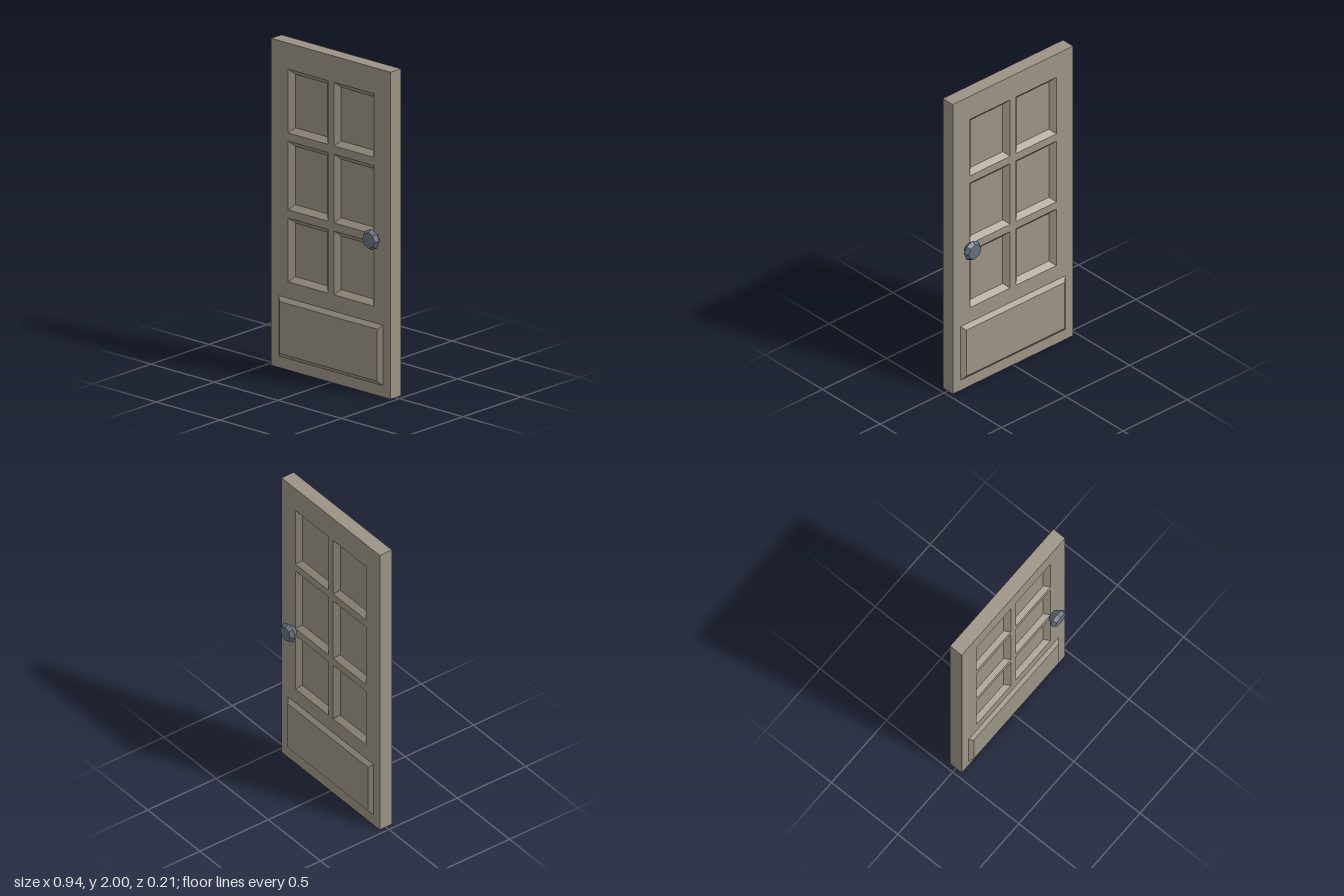
import * as THREE from 'three';

const W = 0.47, H = 2, T = 0.044; // half width, height, half thickness
const rect = (x0, x1, y0, y1) => [[x0, y0], [x1, y0], [x1, y1], [x0, y1]];
const inset = ([[x0, y0], , [x1, y1]], d) => rect(x0 + d, x1 - d, y0 + d, y1 - d);

// Four sloping quads from rectangle a at depth za to rectangle b at depth zb, with an optional cap on b
function frustum(a, za, b, zb, capped = true) {
  const pos = [];
  const quad = (...c) => [0, 1, 2, 0, 2, 3].forEach((i) => pos.push(...c[i]));
  const A = a.map((p) => [...p, za]);
  const B = b.map((p) => [...p, zb]);
  for (let i = 0; i < 4; i++) {
    const j = (i + 1) % 4;
    quad(A[i], A[j], B[j], B[i]);
  }
  if (capped) quad(...B);
  const g = new THREE.BufferGeometry();
  g.setAttribute('position', new THREE.Float32BufferAttribute(pos, 3));
  g.computeVertexNormals();
  return g;
}

export function createModel() {
  const wood = new THREE.MeshStandardMaterial({ color: 0x9c9485, flatShading: true });
  wood.name = 'greyBrownWood';
  const metal = new THREE.MeshStandardMaterial({ color: 0x65717c, flatShading: true });
  metal.name = 'blueGreyMetal';

  const door = new THREE.Group();
  door.name = 'door';
  const add = (parent, name, geometry, material) => {
    const mesh = new THREE.Mesh(geometry, material);
    mesh.name = name;
    parent.add(mesh);
    return mesh;
  };

  // Outer edges of the slab
  const outline = rect(-W, W, 0, H);
  add(door, 'doorEdges', frustum(outline, -T, outline, T, false), wood);

  // Six recessed panels in three rows
  const recesses = [];
  for (const [y0, y1] of [[0.54, 0.93], [0.98, 1.4], [1.45, 1.84]]) {
    recesses.push(rect(-0.338, -0.023, y0, y1), rect(0.023, 0.338, y0, y1));
  }

  // Face with openings for the recesses
  const toPoints = (r) => r.map(([x, y]) => new THREE.Vector2(x, y));
  const faceShape = new THREE.Shape(toPoints(outline));
  faceShape.holes = recesses.map((r) => new THREE.Path(toPoints(r)));
  const faceGeometry = new THREE.ShapeGeometry(faceShape).translate(0, 0, T);

  // Raised panel at the bottom
  const raised = rect(-0.41, 0.41, 0.07, 0.44);
  const raisedGeometry = frustum(raised, T, inset(raised, 0.026), 0.065);

  // Eight-sided knob
  const profile = [[0, T], [0.028, T], [0.064, 0.083], [0.048, 0.107], [0, 0.107]];
  const knobGeometry = new THREE.LatheGeometry(
    profile.map(([r, y]) => new THREE.Vector2(r, y)), 8).rotateX(Math.PI / 2);

  // The back is the front turned round, with its knob on the same edge of the door
  for (const [name, turn, side] of [['front', 0, 1], ['back', Math.PI, -1]]) {
    const half = new THREE.Group();
    half.name = name + 'Side';
    half.rotation.y = turn;
    add(half, name + 'Face', faceGeometry, wood);
    recesses.forEach((r, i) =>
      add(half, `${name}RecessedPanel${i + 1}`, frustum(r, T, inset(r, 0.031), T - 0.03), wood));
    add(half, name + 'RaisedPanel', raisedGeometry, wood);
    add(half, name + 'Knob', knobGeometry, metal).position.set(side * 0.353, 0.96, 0);
    door.add(half);
  }
  return door;
}
